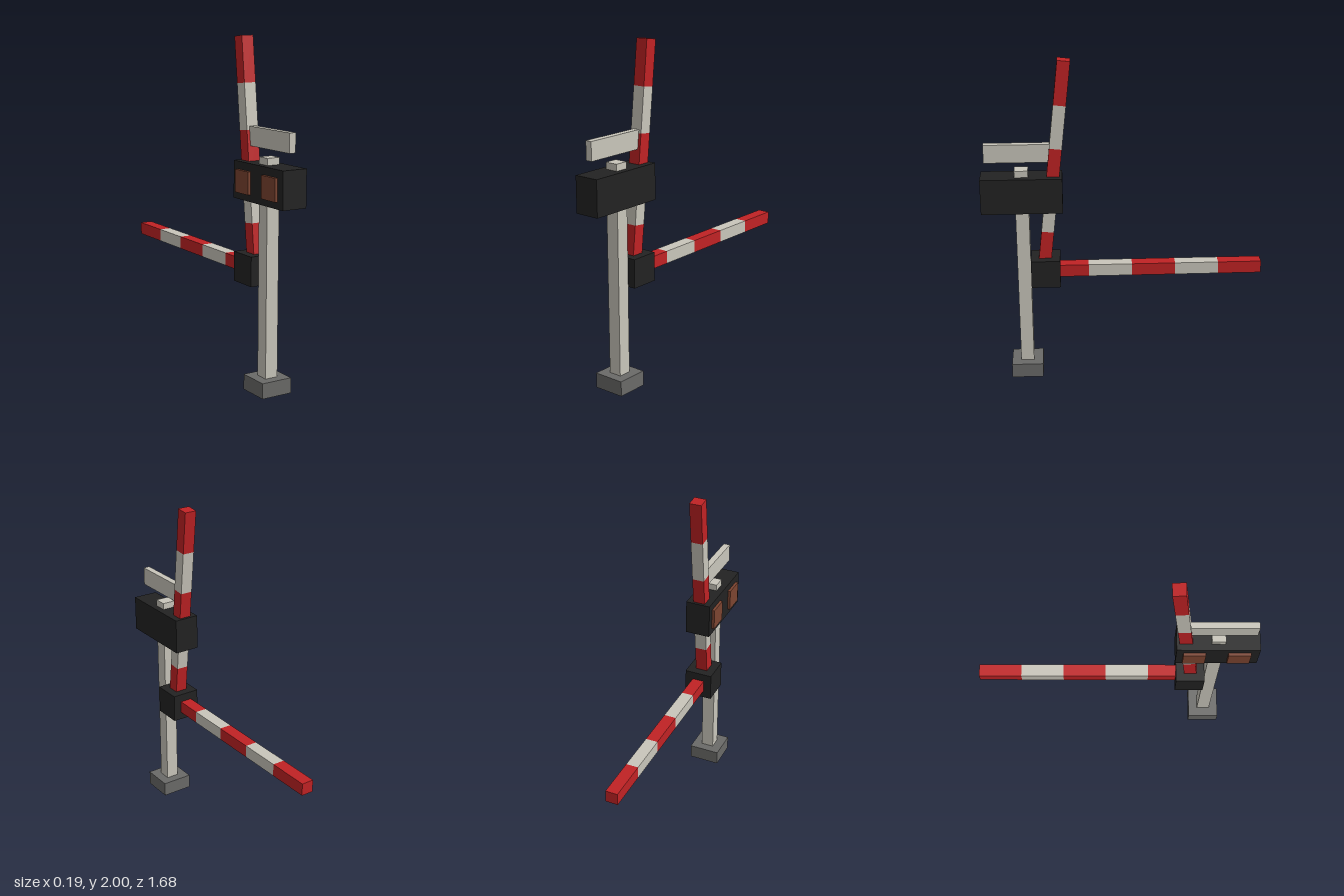
import * as THREE from 'three';

const mat = (name, color, side = THREE.FrontSide) => {
  const m = new THREE.MeshStandardMaterial({ color, side });
  m.name = name;
  return m;
};

export function createModel() {
  const cream = mat('cream paint', 0xc9c6bb, THREE.DoubleSide);
  const red = mat('red paint', 0xc02224);
  const black = mat('black housing', 0x222222);
  const grey = mat('grey footing', 0x6a6a68, THREE.DoubleSide);
  const brown = mat('brown lamp', 0x7c4430);

  const model = new THREE.Group();
  model.name = 'crossingBarrier';

  // Box given by its extents on each axis; openBottom drops the underside
  const box = (name, material, [x0, x1], [y0, y1], [z0, z1], openBottom = false) => {
    const geo = new THREE.BoxGeometry(x1 - x0, y1 - y0, z1 - z0);
    if (openBottom) {
      const index = Array.from(geo.index.array);
      index.splice(18, 6);
      geo.setIndex(index);
      geo.clearGroups();
    }
    const mesh = new THREE.Mesh(geo, material);
    mesh.name = name;
    mesh.position.set((x0 + x1) / 2, (y0 + y1) / 2, (z0 + z1) / 2);
    model.add(mesh);
    return mesh;
  };

  // Hollow footing and post, both open underneath
  box('footing', grey, [-0.097, 0.097], [0, 0.09], [0.504, 0.696], true);
  box('post', cream, [-0.04, 0.04], [0, 1.345], [0.56, 0.64], true);

  // Signal head, sign board and pivot housing
  box('signalHead', black, [-0.077, 0.077], [1.09, 1.305], [0.36, 0.84]);
  box('signBoard', cream, [-0.02, 0.02], [1.39, 1.5], [0.425, 0.815]);
  box('pivotHousing', black, [-0.087, 0.087], [0.612, 0.784], [0.383, 0.558]);

  // Two square lamps on one side of the head
  for (const z of [0.465, 0.725]) {
    box('lamp', brown, [-0.094, -0.077], [1.13, 1.26], [z - 0.065, z + 0.065]);
  }

  // Striped arm of five equal bands, running along its own -z
  const arm = (name, y, z, angle) => {
    const group = new THREE.Group();
    group.name = name;
    const band = 0.262;
    for (let i = 0; i < 5; i++) {
      const mesh = new THREE.Mesh(new THREE.BoxGeometry(0.075, 0.075, band), i % 2 ? cream : red);
      mesh.name = i % 2 ? 'creamBand' : 'redBand';
      mesh.position.z = -(i + 0.5) * band;
      group.add(mesh);
    }
    group.position.set(0, y, z);
    group.rotation.x = angle;
    model.add(group);
  };
  arm('loweredArm', 0.697, 0.474, 0);
  arm('raisedArm', 0.694, 0.482, THREE.MathUtils.degToRad(83.7));

  return model;
}
